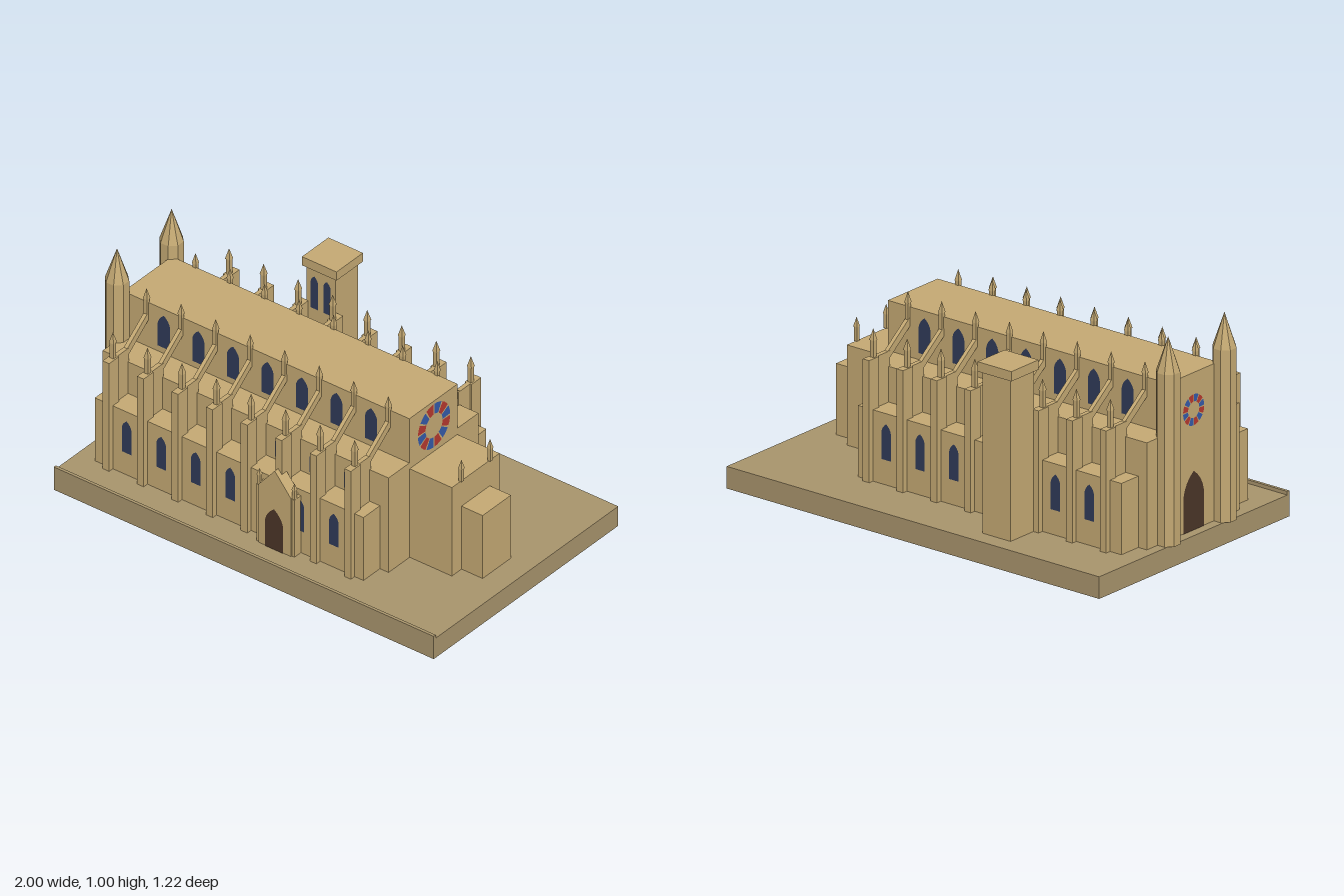
import * as THREE from 'three';

const mat = (name, color) => Object.assign(new THREE.MeshStandardMaterial({ color }), { name });

export function createModel() {
  const root = new THREE.Group();
  root.name = 'cathedral';
  const stone = mat('stone', 0xc4a973);
  const ground = mat('ground', 0xa8946c);
  const glass = mat('dark glass', 0x2f3a58);
  const wood = mat('door wood', 0x4a3528);
  const red = mat('red glass', 0xb5382e);
  const blue = mat('blue glass', 0x3459a8);

  const AXIS = 0.047;   // z of the nave's centre line
  const FLOOR = 0.097;  // top of the base

  const add = (name, geo, material, x = 0, y = 0, z = 0, ry = 0, parent = root) => {
    const m = new THREE.Mesh(geo, material);
    m.name = name;
    m.position.set(x, y, z);
    m.rotation.y = ry;
    parent.add(m);
    return m;
  };
  // Box given by its limits on each axis
  const block = (name, x0, x1, y0, y1, z0, z1, material = stone) =>
    add(name, new THREE.BoxGeometry(x1 - x0, y1 - y0, z1 - z0), material,
      (x0 + x1) / 2, (y0 + y1) / 2, (z0 + z1) / 2);
  // Block symmetric about the nave axis
  const hall = (name, x0, x1, top, half) =>
    block(name, x0, x1, FLOOR, top, AXIS - half, AXIS + half);

  // Pointed arch standing on y = 0
  const archShape = (w, h) => {
    const s = new THREE.Shape();
    const spring = h - w * 0.75;
    s.moveTo(-w / 2, 0);
    s.lineTo(w / 2, 0);
    s.lineTo(w / 2, spring);
    s.quadraticCurveTo(w * 0.42, h - w * 0.3, 0, h);
    s.quadraticCurveTo(-w * 0.42, h - w * 0.3, -w / 2, spring);
    return s;
  };
  const archPlate = (w, h) => new THREE.ShapeGeometry(archShape(w, h), 4);

  // Square pinnacle with a pointed cap
  const pinnacle = (x, y, z, h, w = 0.024) => {
    const g = new THREE.Group();
    g.name = 'pinnacle';
    g.position.set(x, y, z);
    root.add(g);
    add('pinnacleShaft', new THREE.BoxGeometry(w * 0.8, h * 0.6, w * 0.8), stone, 0, h * 0.3, 0, 0, g);
    const cap = new THREE.ConeGeometry(w * 0.71, h * 0.4, 4).toNonIndexed();
    cap.computeVertexNormals();
    add('pinnacleCap', cap, stone, 0, h * 0.8, 0, Math.PI / 4, g);
  };

  // Base with a low lip along the front
  block('base', -0.98, 1, 0, FLOOR, -0.612, 0.612, ground);
  block('frontLip', -0.98, 1, FLOOR, 0.113, 0.598, 0.612, ground);

  // Main volumes
  hall('nave', -0.935, 0.555, 0.787, 0.16);
  hall('aisles', -0.935, 0.555, 0.567, 0.298);
  hall('sideChapels', -0.89, 0.51, 0.41, 0.407);
  hall('choir', 0.555, 0.775, 0.537, 0.158);
  hall('apse', 0.775, 0.885, 0.41, 0.094);
  for (const s of [-1, 1]) pinnacle(0.775, 0.537, AXIS + s * 0.095, 0.105, 0.02);

  // Window rows: width, height, sill, wall offset
  const rows = [
    ['naveWindow', 0.064, 0.16, 0.597, 0.16],
    ['aisleWindow', 0.064, 0.122, 0.425, 0.298],
    ['chapelWindow', 0.05, 0.158, 0.207, 0.407],
  ].map(([name, w, h, y, off]) => ({ name, geo: archPlate(w, h), y, off }));

  for (const s of [-1, 1]) {
    const ry = s > 0 ? 0 : Math.PI;
    for (let i = 0; i < 7; i++)
      for (const r of rows)
        add(r.name, r.geo, glass, -0.722 + i * 0.18, r.y, AXIS + s * (r.off + 0.003), ry);

    // Buttress piers, flying arches and pinnacles
    for (let i = 0; i < 8; i++) {
      const x = -0.813 + i * 0.18;
      const span = (name, w, a, b) => {
        const z = [AXIS + s * a, AXIS + s * b].sort((p, q) => p - q);
        block(name, x - w / 2, x + w / 2, FLOOR, 0.633, z[0], z[1]);
      };
      span('buttressPier', 0.034, 0.368, 0.432);
      span('buttressWall', 0.02, 0.29, 0.368);
      const rise = 0.115, run = 0.15;
      const flyer = add('flyingButtress',
        new THREE.BoxGeometry(0.018, 0.032, Math.hypot(rise, run)), stone,
        x, 0.669, AXIS + s * 0.228);
      flyer.rotation.x = s * Math.atan2(rise, run);
      pinnacle(x, 0.633, AXIS + s * 0.385, 0.124);
      pinnacle(x, 0.733, AXIS + s * 0.162, 0.122, 0.022);
    }

    // Octagonal stair towers with spires at the west end
    const shaft = new THREE.CylinderGeometry(0.052, 0.052, 0.853 - FLOOR, 8).toNonIndexed();
    shaft.computeVertexNormals();
    add('stairTower', shaft, stone, -0.952, (0.853 + FLOOR) / 2, AXIS + s * 0.181, Math.PI / 8);
    const spire = new THREE.ConeGeometry(0.052, 0.152, 8).toNonIndexed();
    spire.computeVertexNormals();
    add('spire', spire, stone, -0.952, 0.929, AXIS + s * 0.181, Math.PI / 8);
  }

  // Rose windows: rings of alternating glass petals
  const rose = (name, x, y, r, ry) => {
    const g = new THREE.Group();
    g.name = name;
    g.position.set(x, y, AXIS);
    g.rotation.y = ry;
    root.add(g);
    const n = 12, step = (Math.PI * 2) / n;
    for (let i = 0; i < n; i++)
      add('petal', new THREE.RingGeometry(r * 0.53, r, 2, 1, i * step + 0.04, step - 0.08),
        i % 2 ? red : blue, 0, 0, 0, 0, g);
  };
  rose('eastRose', 0.558, 0.668, 0.107, Math.PI / 2);
  rose('westRose', -0.938, 0.625, 0.068, -Math.PI / 2);
  add('westDoor', archPlate(0.13, 0.26), wood, -0.938, FLOOR, AXIS, -Math.PI / 2);

  // Gabled side portal
  const gable = new THREE.Shape([[0, FLOOR], [0.17, FLOOR], [0.17, 0.385], [0.085, 0.487], [0, 0.385]]
    .map(([x, y]) => new THREE.Vector2(x, y)));
  add('portal', new THREE.ExtrudeGeometry(gable, { depth: 0.055, bevelEnabled: false }), stone, 0, 0, 0.447);
  add('portalDoor', archPlate(0.095, 0.2), wood, 0.084, FLOOR, 0.505);
  for (const x of [-0.006, 0.176]) {
    block('portalPost', x - 0.008, x + 0.008, FLOOR, 0.38, 0.45, 0.497);
    pinnacle(x, 0.38, 0.487, 0.075, 0.018);
  }

  // Square bell tower at the back
  block('bellTower', -0.443, -0.293, FLOOR, 0.807, -0.532, -0.382);
  block('bellTowerCap', -0.458, -0.278, 0.807, 0.85, -0.545, -0.37);
  for (const d of [-0.033, 0.033]) {
    add('belfryWindow', archPlate(0.038, 0.16), glass, -0.368 + d, 0.61, -0.379);
  }

  return root;
}
